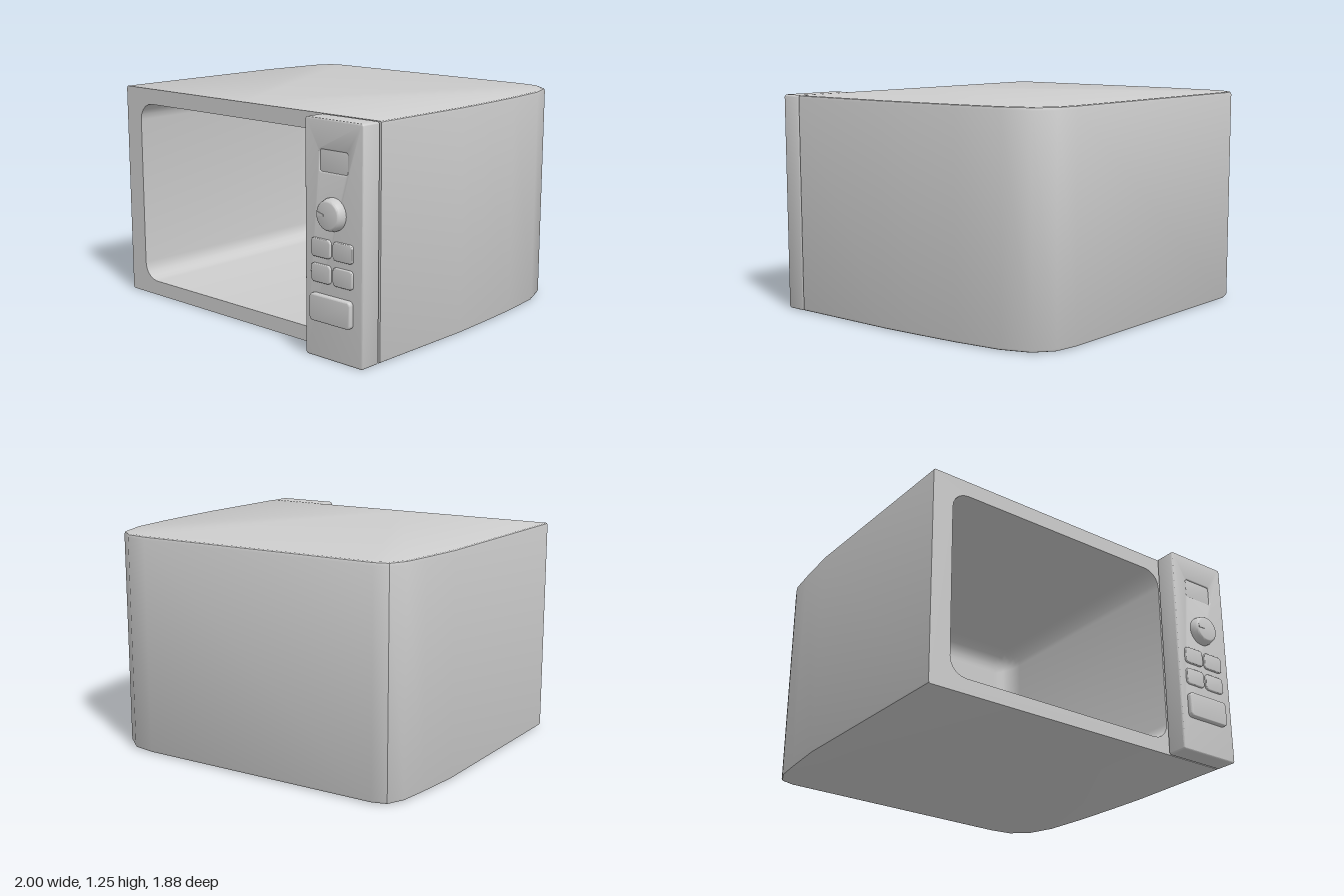
import * as THREE from 'three';
import { toCreasedNormals } from 'three/addons/utils/BufferGeometryUtils.js';

const grey = new THREE.MeshStandardMaterial({ color: 0xcccccc });
const FRONT = 0.76, PANEL = 0.89;

function mesh(name, geometry, crease = 0.7) {
  const m = new THREE.Mesh(crease ? toCreasedNormals(geometry, crease) : geometry, grey);
  m.name = name;
  return m;
}

// Skin a list of equally long point rings
function loft(rings) {
  const n = rings[0].length, index = [];
  for (let k = 0; k < rings.length - 1; k++) {
    for (let i = 0; i < n - 1; i++) {
      const a = k * n + i, b = a + 1, c = a + n, d = c + 1;
      index.push(a, b, c, b, d, c);
    }
  }
  const g = new THREE.BufferGeometry();
  g.setAttribute('position', new THREE.Float32BufferAttribute(rings.flat(2), 3));
  g.setIndex(index);
  return g;
}

// Counter-clockwise rounded rectangle, first point repeated at the end
function roundRect(x0, x1, y0, y1, r, steps = 5) {
  const corners = [[x1 - r, y0 + r, -1], [x1 - r, y1 - r, 0], [x0 + r, y1 - r, 1], [x0 + r, y0 + r, 2]];
  const pts = [];
  for (const [cx, cy, q] of corners) {
    for (let i = 0; i <= steps; i++) {
      const a = (q + i / steps) * Math.PI / 2;
      pts.push(new THREE.Vector2(cx + r * Math.cos(a), cy + r * Math.sin(a)));
    }
  }
  pts.push(pts[0].clone());
  return pts;
}

// Rounded plate standing on z0 and reaching z1, with softened edges
function plate(name, x0, x1, y0, y1, z0, z1, r, bevel, hole) {
  const shape = new THREE.Shape(roundRect(x0 + bevel, x1 - bevel, y0 + bevel, y1 - bevel, r));
  if (hole) shape.holes.push(new THREE.Path(hole));
  const g = new THREE.ExtrudeGeometry(shape, {
    depth: z1 - z0 - 2 * bevel, bevelThickness: bevel, bevelSize: bevel, bevelSegments: 3,
  });
  g.translate(0, 0, z0 + bevel);
  return mesh(name, g);
}

function makeBody() {
  const body = new THREE.Group();
  body.name = 'body';

  // Plan of the case from right front, round the back, to left front
  const plan = [
    [1, FRONT], [1, 0.1], [0.99, -0.1], [0.97, -0.4], [0.935, -0.68], [0.875, -0.84], [0.775, -0.92],
    [0.64, -0.94], [-0.83, -0.94], [-0.91, -0.915], [-0.955, -0.82], [-0.975, -0.66], [-1, -0.4], [-1, FRONT],
  ];
  // Height and scale of each level; the ends collapse onto the front edge
  const levels = [[0.005, 0], [0.005, 0.99], [0.009, 0.997], [0.02, 1], [1.232, 1], [1.246, 0.997], [1.25, 0.99], [1.25, 0]];
  const rings = levels.map(([y, s]) => plan.map(([x, z]) => [x * s, y, FRONT + (z - FRONT) * s]));
  body.add(mesh('caseShell', loft(rings)));

  // Front frame around the opening
  const opening = [-0.875, 0.605, 0.09, 1.16];
  const edge = levels.slice(1, -1);
  const frame = new THREE.Shape([
    ...edge.map(([y, s]) => new THREE.Vector2(s, y)),
    ...edge.reverse().map(([y, s]) => new THREE.Vector2(-s, y)),
  ]);
  frame.holes.push(new THREE.Path(roundRect(...opening, 0.1)));
  body.add(mesh('frontFrame', new THREE.ShapeGeometry(frame).translate(0, 0, FRONT), 0));

  // Cooking cavity with a filleted back wall
  const [x0, x1, y0, y1] = opening, fillet = 0.12, back = -0.7;
  const section = (d, z) => roundRect(x0 + d, x1 - d, y0 + d, y1 - d, 0.1 - d * 0.6).map(p => [p.x, p.y, z]);
  const inner = [section(0, FRONT)];
  for (let i = 0; i <= 6; i++) {
    const a = i / 6 * Math.PI / 2;
    inner.push(section(fillet * (1 - Math.cos(a)), back + fillet * (1 - Math.sin(a))));
  }
  inner.push(section(0.14, back));
  inner.push(inner[0].map(() => [(x0 + x1) / 2, (y0 + y1) / 2, back]));
  body.add(mesh('cavity', loft(inner)));
  return body;
}

function makeKnob() {
  const knob = new THREE.Group();
  knob.name = 'knob';
  const profile = [[0.086, 0], [0.086, 0.012], [0.078, 0.042], [0.073, 0.048], [0.066, 0.05], [0, 0.05]]
    .map(([r, h]) => new THREE.Vector2(r, h));
  knob.add(mesh('knobDial', new THREE.LatheGeometry(profile, 32).rotateX(Math.PI / 2)));
  // Wedge-shaped pointer
  const wedge = new THREE.Shape([[-0.066, -0.006], [-0.022, -0.004], [-0.022, 0.004], [-0.066, 0.016]]
    .map(p => new THREE.Vector2(...p)));
  const pointer = mesh('knobPointer', new THREE.ExtrudeGeometry(wedge, { depth: 0.004, bevelEnabled: false }));
  pointer.position.z = 0.049;
  knob.add(pointer);
  knob.position.set(0.8, 0.775, PANEL);
  return knob;
}

function makeControls() {
  const controls = new THREE.Group();
  controls.name = 'controlPanel';

  // Panel with a shallow display recess
  const display = [0.697, 0.9, 0.975, 1.103];
  controls.add(plate('panel', 0.602, 0.998, 0.002, 1.25, 0.768, PANEL, 0.008, 0.008, roundRect(...display, 0.02)));
  controls.add(plate('display', ...display, 0.8, PANEL - 0.006, 0.02, 0.004));

  // Two rows of small buttons and the wide door button
  for (const y of [0.54, 0.407]) {
    for (const x of [0.652, 0.802]) {
      controls.add(plate('button', x, x + 0.134, y, y + 0.098, PANEL - 0.01, 0.903, 0.015, 0.006));
    }
  }
  controls.add(plate('doorButton', 0.652, 0.933, 0.203, 0.348, PANEL - 0.01, 0.918, 0.015, 0.008));
  controls.add(makeKnob());
  return controls;
}

export function createModel() {
  const model = new THREE.Group();
  model.name = 'microwaveOven';
  model.add(makeBody(), makeControls());
  return model;
}
